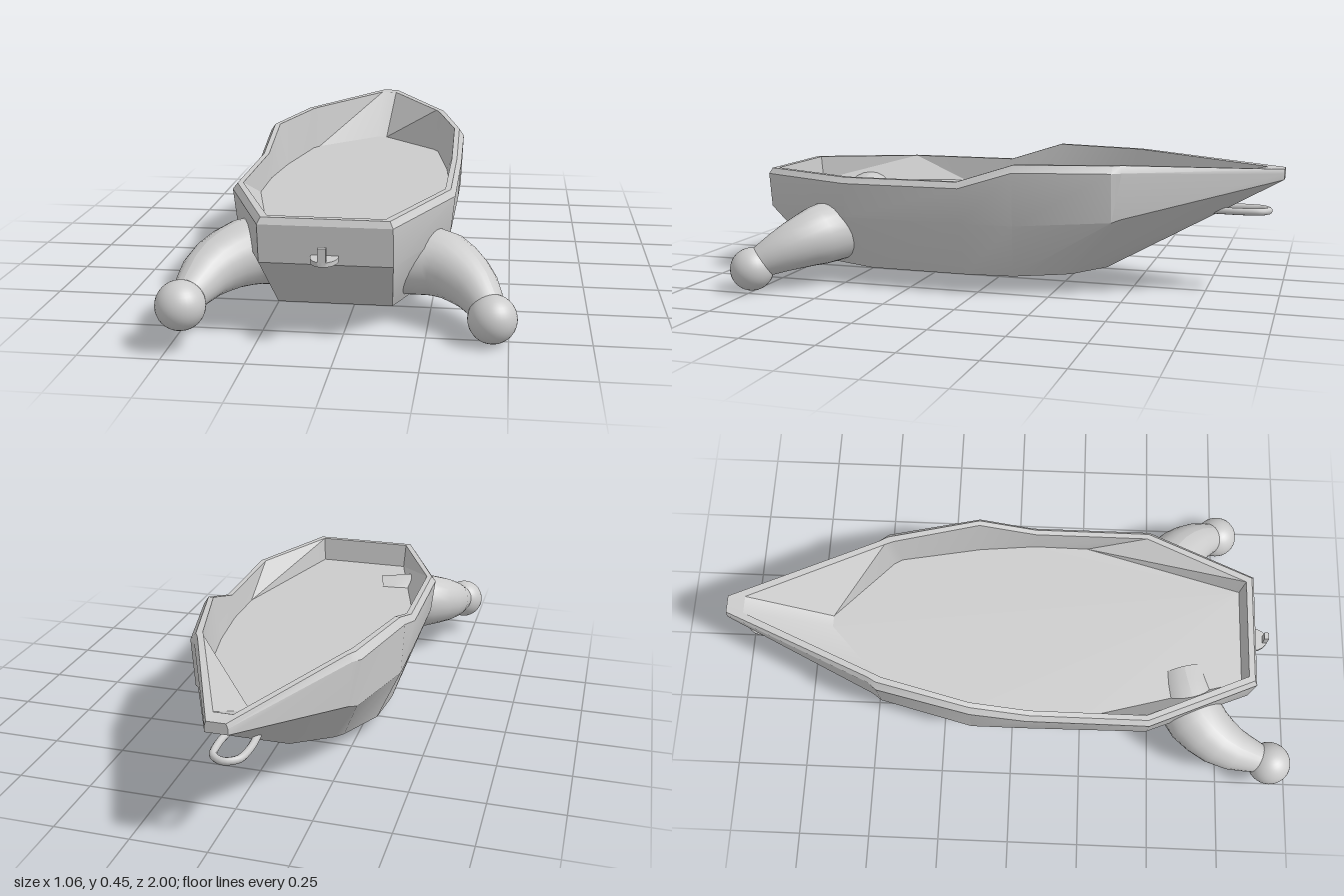
import * as THREE from 'three';
import { toCreasedNormals } from 'three/addons/utils/BufferGeometryUtils.js';

const grey = new THREE.MeshStandardMaterial({ color: 0xcccccc, side: THREE.DoubleSide });
const CX = -0.04; // centreline of the hull

function add(parent, name, geometry, x = 0, y = 0, z = 0) {
  const mesh = new THREE.Mesh(geometry, grey);
  mesh.name = name;
  mesh.position.set(x, y, z);
  parent.add(mesh);
  return mesh;
}

// Each ring runs from stern to bow as [z, half width, y]; the other side is mirrored.
const RINGS = [
  // flat bottom
  [[0.65, 0.18, 0.06], [0.4, 0.28, 0.06], [0.05, 0.287, 0.06], [-0.12, 0.27, 0.06], [-0.28, 0.19, 0.06], [-0.31, 0.165, 0.06], [-0.4, 0.03, 0.06]],
  // chine
  [[0.83, 0.2, 0.25], [0.47, 0.347, 0.25], [0.05, 0.352, 0.25], [-0.14, 0.352, 0.25], [-0.46, 0.275, 0.265], [-0.49, 0.255, 0.275], [-1, 0.035, 0.4]],
  // upper side
  [[0.84, 0.2, 0.37], [0.47, 0.36, 0.37], [0.05, 0.36, 0.37], [-0.14, 0.36, 0.43], [-0.46, 0.287, 0.43], [-0.49, 0.262, 0.43], [-1, 0.035, 0.42]],
  // chamfered outer edge of the rim
  [[0.83, 0.19, 0.39], [0.465, 0.345, 0.39], [0.06, 0.345, 0.39], [-0.14, 0.343, 0.455], [-0.46, 0.267, 0.455], [-0.49, 0.25, 0.455], [-1, 0.03, 0.435]],
  // inner edge of the rim
  [[0.81, 0.175, 0.39], [0.46, 0.327, 0.39], [0.06, 0.327, 0.39], [-0.14, 0.325, 0.455], [-0.44, 0.25, 0.455], [-0.47, 0.237, 0.455], [-0.94, 0.03, 0.435]],
  // floor
  [[0.8, 0.17, 0.3], [0.25, 0.318, 0.3], [0.06, 0.32, 0.3], [-0.14, 0.3, 0.3], [-0.42, 0.248, 0.3], [-0.45, 0.23, 0.3], [-0.65, 0.02, 0.3]],
];

function hullGeometry() {
  const loops = RINGS.map(ring => [
    ...ring.map(([z, w, y]) => [CX + w, y, z]),
    ...ring.map(([z, w, y]) => [CX - w, y, z]).reverse(),
  ]);
  const n = loops[0].length;
  const index = [];
  for (let r = 0; r < loops.length - 1; r++) {
    for (let i = 0; i < n; i++) {
      const j = (i + 1) % n;
      const a = r * n + i, b = r * n + j, c = a + n, d = b + n;
      index.push(a, b, d, a, d, c);
    }
  }
  const top = (loops.length - 1) * n;
  for (let i = 1; i < n - 1; i++) {
    index.push(0, i + 1, i, top, top + i, top + i + 1);
  }
  const geometry = new THREE.BufferGeometry();
  geometry.setAttribute('position', new THREE.Float32BufferAttribute(loops.flat(2), 3));
  geometry.setIndex(index);
  return toCreasedNormals(geometry, 0.4);
}

// Curved tube whose radius follows a list of values along its length.
function taperedTube(points, radii) {
  const steps = 8, sides = 24;
  const curve = new THREE.CatmullRomCurve3(points.map(p => new THREE.Vector3(...p)));
  const geometry = new THREE.TubeGeometry(curve, steps, 1, sides);
  const pos = geometry.attributes.position;
  const v = new THREE.Vector3();
  for (let i = 0; i < pos.count; i++) {
    const t = Math.floor(i / (sides + 1)) / steps;
    const s = t * (radii.length - 1);
    const k = Math.min(Math.floor(s), radii.length - 2);
    const radius = THREE.MathUtils.lerp(radii[k], radii[k + 1], s - k);
    const centre = curve.getPointAt(t);
    v.fromBufferAttribute(pos, i).sub(centre).multiplyScalar(radius).add(centre);
    pos.setXYZ(i, v.x, v.y, v.z);
  }
  geometry.computeVertexNormals();
  return geometry;
}

function arm(parent, side, points, radii, ball) {
  const group = new THREE.Group();
  group.name = side + 'Arm';
  add(group, side + 'Limb', taperedTube(points, radii));
  add(group, side + 'Ball', new THREE.SphereGeometry(0.075, 32, 20), ...ball);
  parent.add(group);
}

export function createModel() {
  const model = new THREE.Group();
  model.name = 'boat';
  add(model, 'hull', hullGeometry());

  // Two limbs beside the stern, each ending in a ball
  arm(model, 'left',
    [[0.16, 0.18, 0.55], [0.28, 0.18, 0.57], [0.38, 0.145, 0.65], [0.445, 0.09, 0.75]],
    [0.11, 0.108, 0.082, 0.05], [0.45, 0.076, 0.76]);
  arm(model, 'right',
    [[-0.17, 0.21, 0.6], [-0.3, 0.22, 0.635], [-0.4, 0.195, 0.74], [-0.445, 0.15, 0.89]],
    [0.108, 0.108, 0.085, 0.05], [-0.455, 0.14, 0.92]);

  // Small ledge with an upright peg on the stern
  const ledge = add(model, 'sternLedge', new THREE.CylinderGeometry(0.042, 0.042, 0.014, 16), CX, 0.273, 0.845);
  ledge.scale.z = 1.3;
  add(model, 'sternPeg', new THREE.BoxGeometry(0.024, 0.05, 0.016), CX, 0.297, 0.89);

  // Towing loop under the bow
  const loop = new THREE.CatmullRomCurve3(
    [[0.045, -0.77], [0.05, -0.86], [0.038, -0.93], [0, -0.952], [-0.038, -0.93], [-0.05, -0.86], [-0.045, -0.77]]
      .map(([x, z]) => new THREE.Vector3(CX + x, 0.287, z)));
  add(model, 'bowLoop', new THREE.TubeGeometry(loop, 32, 0.012, 10));

  return model;
}
